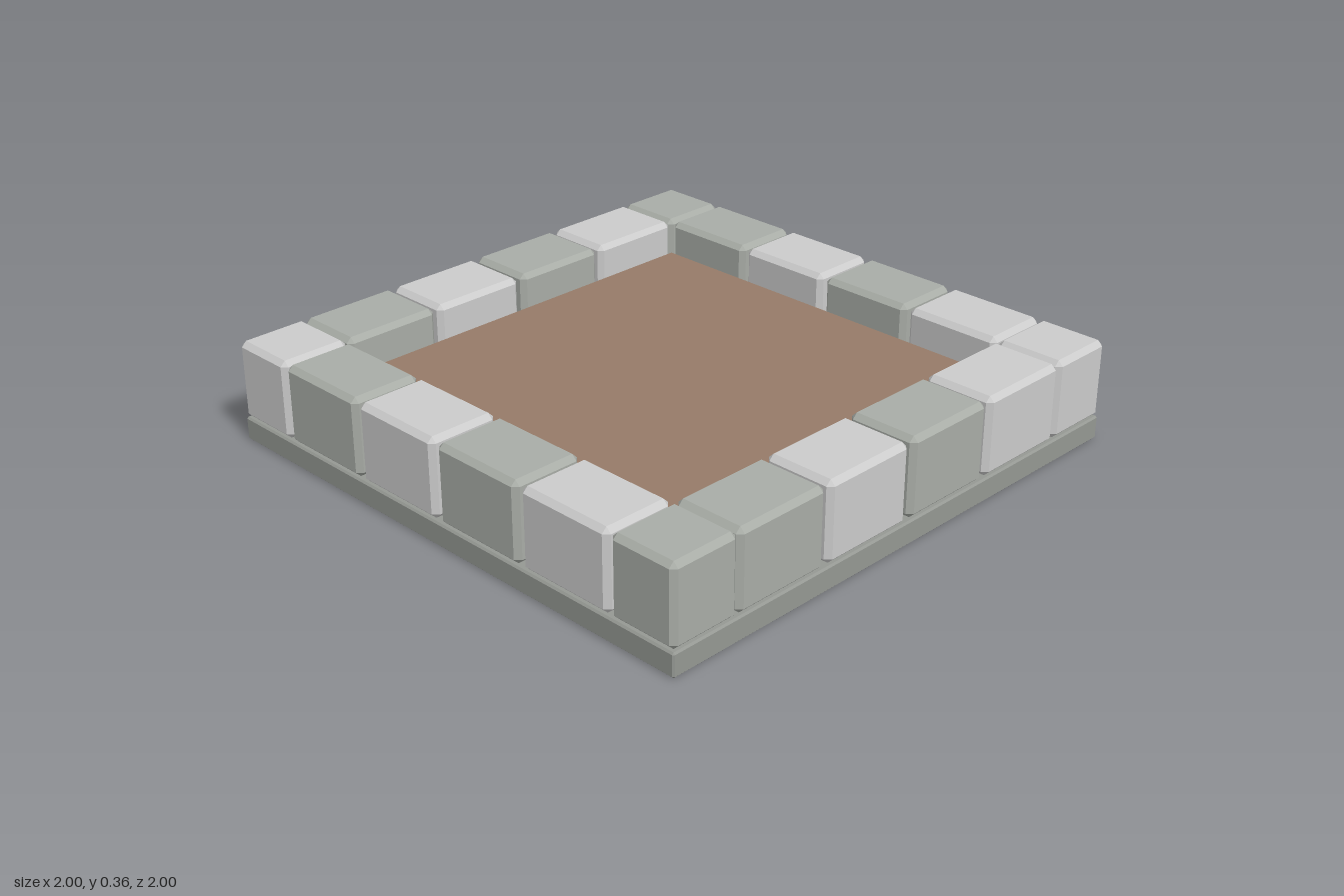
import * as THREE from 'three';
import { ConvexGeometry } from 'three/addons/geometries/ConvexGeometry.js';

const stone = (color) => new THREE.MeshStandardMaterial({ color, flatShading: true });
const LIGHT = stone(0xcccccc);
const DARK = stone(0xa9ada7);
const SLAB = stone(0x959893);
const SOIL = stone(0x967b68);

// Box between two corners with every edge chamfered by c
function chamferBox(name, [x0, y0, z0], [x1, y1, z1], c, material) {
  const half = new THREE.Vector3(x1 - x0, y1 - y0, z1 - z0).multiplyScalar(0.5);
  const points = [];
  for (const sx of [-1, 1]) for (const sy of [-1, 1]) for (const sz of [-1, 1]) {
    for (const axis of ['x', 'y', 'z']) {
      const p = half.clone().subScalar(c);
      p[axis] += c;
      points.push(p.multiply(new THREE.Vector3(sx, sy, sz)));
    }
  }
  const mesh = new THREE.Mesh(new ConvexGeometry(points), material);
  mesh.name = name;
  mesh.position.set((x0 + x1) / 2, (y0 + y1) / 2, (z0 + z1) / 2);
  return mesh;
}

export function createModel() {
  const group = new THREE.Group();
  group.name = 'raisedGardenBed';

  // Base slab and soil fill
  group.add(chamferBox('baseSlab', [-1, 0, -1], [1, 0.083, 1], 0.006, SLAB));
  group.add(chamferBox('soil', [-0.73, 0.07, -0.73], [0.73, 0.25, 0.73], 0.01, SOIL));

  // Stone spans along one side: corner, four blocks, corner
  const spans = [[-1, -0.75], [-0.742, -0.382], [-0.366, -0.009],
    [0.009, 0.366], [0.382, 0.742], [0.75, 1]];
  const bottom = 0.083, top = 0.36, inner = 0.745, chamfer = 0.018;
  const addStone = (name, xs, zs, dark) => group.add(chamferBox(name,
    [xs[0], bottom, zs[0]], [xs[1], top, zs[1]], chamfer, dark ? DARK : LIGHT));

  // Front and back rows include the corner stones (D = dark, L = light)
  const rows = [
    { name: 'frontStone', zs: [inner, 1], tones: 'LDLDLD' },
    { name: 'backStone', zs: [-1, -inner], tones: 'DDLDLL' },
  ];
  for (const { name, zs, tones } of rows) {
    spans.forEach((xs, i) => addStone(name + (i + 1), xs, zs, tones[i] === 'D'));
  }

  // Left and right rows fill in between the corners
  for (const [name, xs] of [['leftStone', [inner, 1]], ['rightStone', [-1, -inner]]]) {
    spans.slice(1, 5).forEach((zs, i) => addStone(name + (i + 1), xs, zs, i % 2 === 1));
  }
  return group;
}
